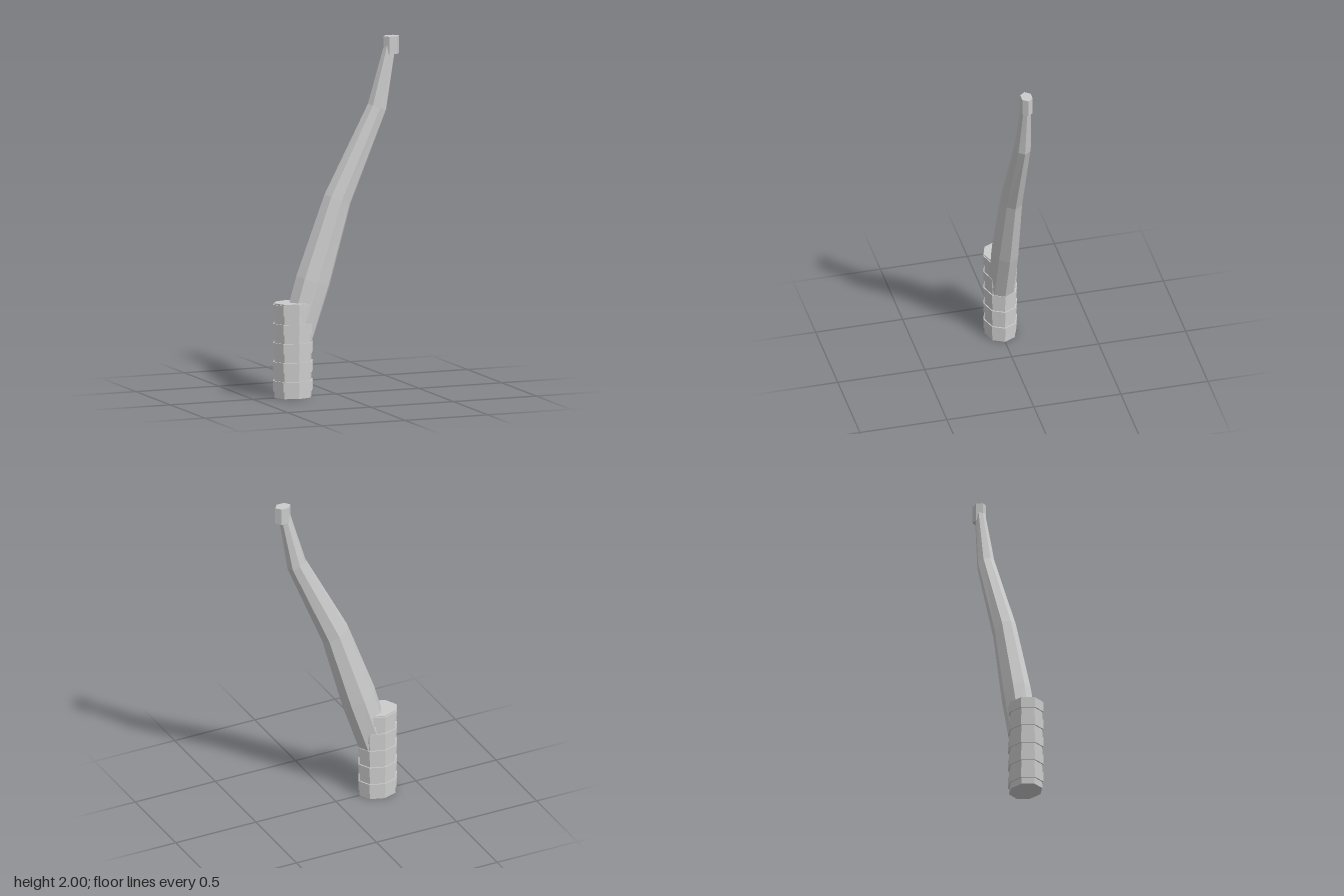
import * as THREE from 'three';

const material = new THREE.MeshStandardMaterial({ color: 0xcccccc, flatShading: true });

function addPart(group, name, geometry) {
  const mesh = new THREE.Mesh(geometry, material);
  mesh.name = name;
  group.add(mesh);
  return mesh;
}

// Skin a row of octagonal sections, each [leftX, leftY, rightX, rightY, halfDepth]
function skinSections(sections, sides) {
  const positions = [];
  const indices = [];
  for (const [lx, ly, rx, ry, depth] of sections) {
    for (let j = 0; j < sides; j++) {
      const angle = (j / sides) * Math.PI * 2;
      const t = (1 + Math.cos(angle)) / 2;
      positions.push(lx + (rx - lx) * t, ly + (ry - ly) * t, depth * Math.sin(angle));
    }
  }
  for (let i = 0; i < sections.length - 1; i++) {
    for (let j = 0; j < sides; j++) {
      const a = i * sides + j;
      const b = i * sides + ((j + 1) % sides);
      indices.push(a, a + sides, b, b, a + sides, b + sides);
    }
  }
  // end caps
  const top = (sections.length - 1) * sides;
  for (let j = 1; j < sides - 1; j++) {
    indices.push(0, j, j + 1);
    indices.push(top, top + j + 1, top + j);
  }
  const geometry = new THREE.BufferGeometry();
  geometry.setAttribute('position', new THREE.Float32BufferAttribute(positions, 3));
  geometry.setIndex(indices);
  geometry.computeVertexNormals();
  return geometry;
}

export function createModel() {
  const group = new THREE.Group();

  // Ribbed octagonal grip: five raised bands over a slightly thinner core
  const core = 0.112;
  const band = 0.12;
  const profile = [[0, 0], [core, 0]];
  for (let i = 0; i < 5; i++) {
    const y = 0.038 + i * 0.1075;
    profile.push([core, y], [band, y], [band, y + 0.058], [core, y + 0.058]);
  }
  profile.push([core, 0.533], [0, 0.533]);
  const grip = addPart(group, 'grip',
    new THREE.LatheGeometry(profile.map(([r, y]) => new THREE.Vector2(r, y)), 8));
  grip.scale.z = 0.81;
  grip.position.x = -0.26;

  // Bent, tapering octagonal shaft rising out of the grip
  addPart(group, 'shaft', skinSections([
    [-0.33, 0.37, -0.16, 0.26, 0.079],
    [-0.24, 0.68, -0.04, 0.61, 0.077],
    [-0.07, 1.13, 0.085, 1.06, 0.062],
    [0.192, 1.625, 0.302, 1.585, 0.048],
    [0.292, 1.96, 0.352, 1.9, 0.028],
  ], 8));

  // Small hexagonal head at the tip
  const head = addPart(group, 'head', new THREE.CylinderGeometry(0.047, 0.047, 0.1, 6)
    .rotateY(Math.PI / 2));
  head.scale.z = 0.74;
  head.position.set(0.332, 1.95, 0);

  return group;
}
